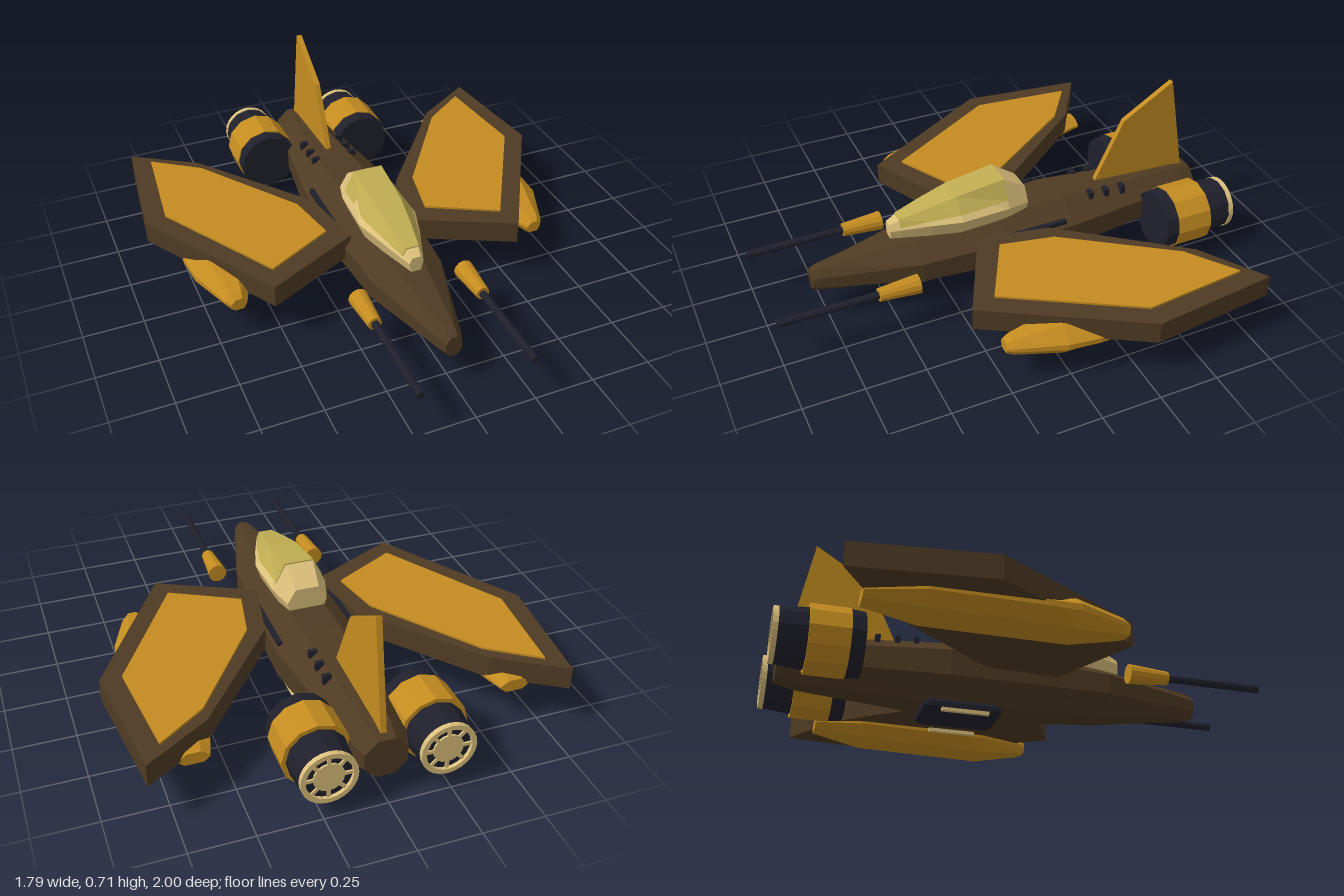
import * as THREE from 'three';

const mat = (name, color) => {
  const m = new THREE.MeshStandardMaterial({ color });
  m.name = name;
  return m;
};

export function createModel() {
  const root = new THREE.Group();
  root.name = 'starFighter';
  const brown = mat('brown hull', 0x4f3b23);
  const orange = mat('orange panels', 0xc48c20);
  const dark = mat('dark metal', 0x20202c);
  const tan = mat('tan trim', 0xdcc07c);
  const glass = mat('yellow glass', 0xbfac52);

  // Adds a faceted mesh
  const add = (name, geo, material, x = 0, y = 0, z = 0, parent = root) => {
    const g = geo.index ? geo.toNonIndexed() : geo;
    g.computeVertexNormals();
    const mesh = new THREE.Mesh(g, material);
    mesh.name = name;
    mesh.position.set(x, y, z);
    parent.add(mesh);
    return mesh;
  };

  // Skins sections [z, [[x, y], ...]] ordered back to front, points counterclockwise from the front
  const loft = (sections) => {
    const pos = [];
    const n = sections[0][1].length;
    const put = (s, i) => pos.push(...sections[s][1][i % n], sections[s][0]);
    const last = sections.length - 1;
    for (let s = 0; s < last; s++) {
      for (let i = 0; i < n; i++) {
        put(s, i); put(s, i + 1); put(s + 1, i + 1);
        put(s, i); put(s + 1, i + 1); put(s + 1, i);
      }
    }
    for (let i = 1; i < n - 1; i++) {
      put(last, 0); put(last, i); put(last, i + 1);
      put(0, 0); put(0, i + 1); put(0, i);
    }
    const g = new THREE.BufferGeometry();
    g.setAttribute('position', new THREE.Float32BufferAttribute(pos, 3));
    return g;
  };

  // Octagon with flat top and sides, given its half width and height range
  const octagon = (hw, y0, y1) => Array.from({ length: 8 }, (_, i) => {
    const a = (i + 0.5) * Math.PI / 4;
    const k = 1 / Math.cos(Math.PI / 8);
    return [Math.cos(a) * hw * k, (y0 + y1) / 2 + Math.sin(a) * (y1 - y0) / 2 * k];
  });

  // Cylinder lying along z
  const tube = (rFront, rBack, length, sides, open = false) =>
    new THREE.CylinderGeometry(rFront, rBack, length, sides, 1, open).rotateX(Math.PI / 2);

  const outline = (pts) => new THREE.Shape(pts.map(([x, y]) => new THREE.Vector2(x, y)));
  const extrude = (pts, depth) =>
    new THREE.ExtrudeGeometry(outline(pts), { depth, bevelEnabled: false });

  // Fuselage
  add('fuselage', loft([
    [-0.96, 0.085, 0.10, 0.26], [-0.88, 0.11, 0.085, 0.278], [-0.3, 0.186, 0.05, 0.31],
    [0, 0.18, 0.055, 0.305], [0.37, 0.155, 0.08, 0.28], [0.77, 0.045, 0.125, 0.235],
    [0.8, 0.033, 0.135, 0.225],
  ].map(([z, ...o]) => [z, octagon(...o)])), brown);

  // Canopy: z, base half width, middle half width and height, top half width and height
  const canopy = [
    [-0.13, 0.07, 0.085, 0.34, 0.05, 0.40], [-0.03, 0.09, 0.115, 0.355, 0.06, 0.465],
    [0.18, 0.10, 0.123, 0.355, 0.055, 0.435], [0.3, 0.07, 0.088, 0.35, 0.042, 0.405],
    [0.42, 0.033, 0.045, 0.335, 0.025, 0.373], [0.46, 0.02, 0.03, 0.33, 0.018, 0.355],
  ];
  add('canopyFrame', loft(canopy.map(([z, b, m, my, t, ty]) =>
    [z, [[b, 0.29], [m, my], [t, ty], [-t, ty], [-m, my], [-b, 0.29]]])), tan);
  add('canopyGlass', loft(canopy.slice(1, 5).map(([z, , m, my, t, ty]) => {
    const g = m + (t - m) * 0.3 + 0.004;
    const gy = my + (ty - my) * 0.3;
    return [z, [[g, gy], [t + 0.002, ty + 0.005], [-t - 0.002, ty + 0.005], [-g, gy]]];
  })), glass);

  // Tail fin
  add('tailFin', extrude([[-0.93, 0.25], [-0.84, 0.71], [-0.615, 0.57], [-0.485, 0.29]], 0.024)
    .rotateY(-Math.PI / 2), orange, 0.012);

  // Belly pad
  const pad = [[0.085, 0.015], [0.102, 0.025], [0.102, 0.045], [0.09, 0.06],
    [-0.09, 0.06], [-0.102, 0.045], [-0.102, 0.025], [-0.085, 0.015]];
  const narrow = pad.map(([x, y]) => [x * 0.9, 0.0375 + (y - 0.0375) * 0.6]);
  add('bellyPad', loft([[-0.385, narrow], [-0.365, pad], [-0.09, pad], [-0.07, narrow]]), dark);

  const wingPts = [[0.835, -0.82], [0.895, -0.29], [0.535, 0.32], [0.14, 0.125], [0.195, -0.17], [0.57, -0.65]];
  const panelPts = [[0.765, -0.73], [0.808, -0.3], [0.505, 0.215], [0.225, 0.065], [0.27, -0.16], [0.57, -0.59]];

  for (const s of [1, -1]) {
    const side = s > 0 ? 'left' : 'right';
    const flip = (pts) => pts.map(([x, z]) => [x * s, z]);

    // Wing slab and its painted upper panel
    add(side + 'Wing', extrude(flip(wingPts), 0.095).rotateX(Math.PI / 2), brown, 0, 0.27);
    add(side + 'WingPanel', extrude(flip(panelPts), 0.009).rotateX(Math.PI / 2), orange, 0, 0.279);

    // Pod slung under the wing: z, centre x, half width, half height, centre y
    add(side + 'WingPod', loft([
      [-0.73, 0.645, 0.06, 0.025, 0.175], [-0.52, 0.655, 0.125, 0.055, 0.175],
      [-0.1, 0.665, 0.125, 0.055, 0.17], [0.03, 0.667, 0.112, 0.065, 0.175],
      [0.22, 0.663, 0.045, 0.035, 0.17], [0.245, 0.66, 0.03, 0.025, 0.168],
    ].map(([z, cx, w, h, cy]) => [z,
      [[1, 0.2], [0.45, 1], [-0.45, 1], [-1, 0.2], [-1, -0.2], [-0.6, -1], [0.6, -1], [1, -0.2]]
        .map(([x, y]) => [cx * s + x * w, cy + y * h])])), orange);

    // Cannon
    add(side + 'CannonHousing', tube(0.028, 0.041, 0.17, 12), orange, s * 0.23, 0.2, 0.505);
    add(side + 'CannonBarrel', tube(0.016, 0.016, 0.43, 10), dark, s * 0.23, 0.2, 0.785);

    // Engine nacelle, its local z running along the hull
    const engine = new THREE.Group();
    engine.name = side + 'Engine';
    engine.position.set(s * 0.23, 0.183, 0);
    root.add(engine);
    const part = (name, geo, m, z, x = 0, y = 0) => add(name, geo, m, x, y, z, engine);
    part('intake', tube(0.128, 0.132, 0.06, 12), dark, -0.69);
    part('engineBand', tube(0.136, 0.136, 0.155, 12), orange, -0.793);
    part('exhaust', tube(0.12, 0.108, 0.12, 12), dark, -0.925);
    const ring = new THREE.Shape().absarc(0, 0, 0.11, 0, Math.PI * 2);
    ring.holes.push(new THREE.Path().absarc(0, 0, 0.09, 0, Math.PI * 2, true));
    part('exhaustRing', new THREE.ExtrudeGeometry(ring,
      { depth: 0.02, bevelEnabled: false, curveSegments: 12 }), tan, -1);
    part('exhaustCore', tube(0.06, 0.06, 0.012, 16), tan, -0.987);
    for (let i = 0; i < 8; i++) {
      const a = i * Math.PI / 4;
      part('exhaustVane', new THREE.BoxGeometry(0.04, 0.014, 0.01).rotateZ(a), tan,
        -0.987, Math.cos(a) * 0.075, Math.sin(a) * 0.075);
    }

    // Hull vents, side slot and landing skid
    for (const z of [-0.58, -0.5, -0.425]) {
      const top = 0.278 + (z + 0.88) * 0.055;
      add(side + 'HullVent', new THREE.BoxGeometry(0.034, 0.04, 0.02), dark, s * 0.085, top - 0.013, z);
    }
    add(side + 'HullSlot', new THREE.BoxGeometry(0.02, 0.018, 0.4), dark, s * 0.165, 0.252, -0.07);
    add(side + 'Skid', new THREE.BoxGeometry(0.016, 0.014, 0.19), tan, s * 0.117, 0.007, -0.225);
  }
  return root;
}
